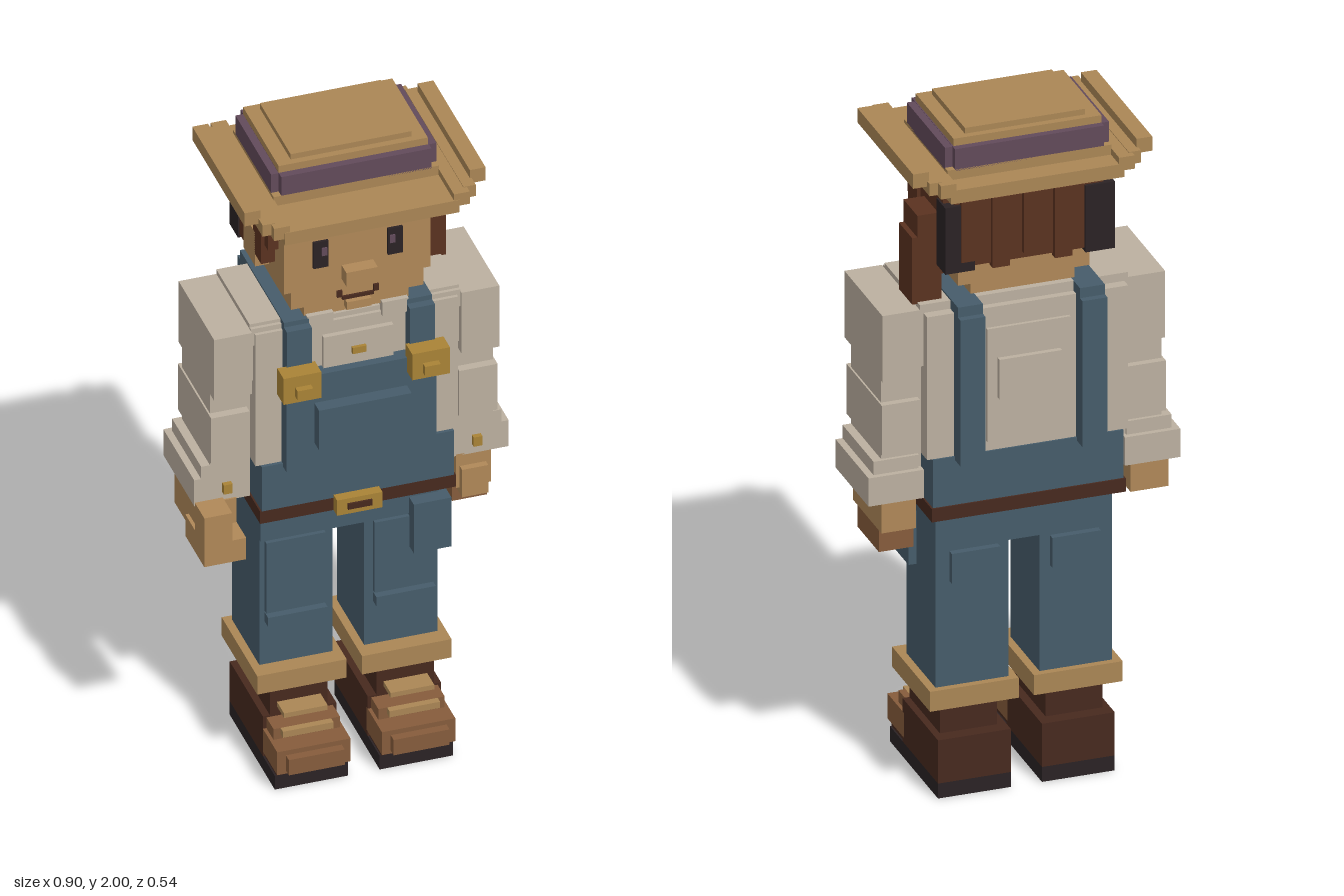
import * as THREE from 'three';

const colours = {
  straw: 0xaa8655, skin: 0xb08858, shirt: 0xbcb0a0, denim: 0x465c6a, leather: 0x47291e,
  hair: 0x5a3220, tan: 0x865c3c, black: 0x2a2224, plum: 0x624a5a, brass: 0xa98336,
};

export function createModel() {
  const root = new THREE.Group();
  root.name = 'farmer';
  const mats = {};
  for (const [name, color] of Object.entries(colours)) {
    mats[name] = new THREE.MeshStandardMaterial({ color });
    mats[name].name = name;
  }
  // box from its limits: x0, x1, y0, y1, z0, z1
  const box = (name, mat, x0, x1, y0, y1, z0, z1) => {
    const m = new THREE.Mesh(new THREE.BoxGeometry(x1 - x0, y1 - y0, z1 - z0), mats[mat]);
    m.position.set((x0 + x1) / 2, (y0 + y1) / 2, (z0 + z1) / 2);
    m.name = name;
    root.add(m);
  };
  // the same box on both sides of the body
  const pair = (name, mat, x0, x1, ...yz) => {
    box(name + 'Left', mat, x0, x1, ...yz);
    box(name + 'Right', mat, -x1, -x0, ...yz);
  };

  // boots
  pair('sole', 'black', 0.045, 0.255, 0, 0.045, -0.18, 0.2);
  pair('boot', 'leather', 0.045, 0.255, 0.045, 0.175, -0.18, 0.1);
  pair('bootFront', 'leather', 0.05, 0.25, 0.045, 0.07, 0.1, 0.2);
  pair('bootShaft', 'leather', 0.07, 0.235, 0.175, 0.265, -0.14, 0.1);
  pair('toe', 'tan', 0.045, 0.255, 0.06, 0.135, 0.09, 0.22);
  pair('toeTop', 'tan', 0.055, 0.245, 0.135, 0.17, 0.08, 0.16);
  pair('toeCap', 'tan', 0.07, 0.23, 0.07, 0.12, 0.22, 0.245);
  pair('lowerLace', 'straw', 0.08, 0.225, 0.15, 0.17, 0.1, 0.18);
  pair('upperLace', 'straw', 0.09, 0.215, 0.2, 0.215, 0.09, 0.16);
  pair('trouserCuff', 'straw', 0.022, 0.278, 0.265, 0.325, -0.18, 0.12);

  // trousers
  pair('leg', 'denim', 0.045, 0.255, 0.325, 0.74, -0.16, 0.07);
  box('hips', 'denim', -0.255, 0.255, 0.735, 0.85, -0.16, 0.08);
  pair('kneePatch', 'denim', 0.07, 0.24, 0.5, 0.73, 0.07, 0.085);
  pair('kneeFold', 'denim', 0.07, 0.24, 0.465, 0.495, 0.07, 0.1);
  pair('backPocket', 'denim', 0.075, 0.215, 0.64, 0.73, -0.18, -0.16);
  box('sidePocket', 'denim', 0.17, 0.278, 0.63, 0.79, -0.01, 0.12);

  // belt
  box('belt', 'leather', -0.28, 0.28, 0.845, 0.885, -0.2, 0.15);
  box('beltBuckle', 'brass', -0.07, 0.06, 0.845, 0.895, 0.15, 0.18);
  box('buckleCentre', 'leather', -0.04, 0.03, 0.862, 0.88, 0.18, 0.186);

  // torso and overalls
  box('waist', 'denim', -0.275, 0.275, 0.885, 1.03, -0.195, 0.15);
  box('torso', 'shirt', -0.29, 0.29, 1.03, 1.46, -0.19, 0.14);
  box('shoulders', 'shirt', -0.3, 0.3, 1.42, 1.475, -0.14, 0.13);
  box('bib', 'denim', -0.215, 0.215, 1.02, 1.32, 0.13, 0.18);
  box('bibPocket', 'denim', -0.135, 0.13, 1.1, 1.23, 0.18, 0.22);
  pair('frontStrap', 'denim', 0.14, 0.212, 1.32, 1.475, 0.13, 0.175);
  pair('topStrap', 'denim', 0.14, 0.212, 1.455, 1.49, -0.22, 0.15);
  pair('backStrap', 'denim', 0.14, 0.212, 1.02, 1.46, -0.24, -0.18);
  pair('strapBuckle', 'brass', 0.13, 0.238, 1.275, 1.36, 0.17, 0.225);
  pair('strapButton', 'brass', 0.16, 0.205, 1.295, 1.325, 0.225, 0.245);
  box('shirtPlacket', 'shirt', -0.1, 0.1, 1.32, 1.42, 0.13, 0.155);
  box('shirtButton', 'brass', -0.02, 0.02, 1.355, 1.375, 0.155, 0.165);
  box('backPanel', 'shirt', -0.12, 0.12, 1.06, 1.4, -0.2, -0.19);
  box('backPatch', 'shirt', -0.09, 0.09, 1.19, 1.31, -0.215, -0.2);
  pair('collar', 'shirt', 0.07, 0.145, 1.45, 1.495, -0.12, 0.15);
  box('backCollar', 'shirt', -0.14, 0.14, 1.45, 1.49, -0.17, -0.11);

  // sleeves and their cuffs
  pair('sleeve', 'shirt', 0.29, 0.405, 0.98, 1.47, -0.14, 0.095);
  pair('upperSleeve', 'shirt', 0.21, 0.3, 1.3, 1.485, -0.16, 0.12);
  pair('shoulderCap', 'shirt', 0.3, 0.408, 1.27, 1.47, -0.16, 0.14);
  pair('elbowFold', 'shirt', 0.3, 0.41, 1.05, 1.2, -0.16, 0.12);
  pair('sleeveCuff', 'shirt', 0.29, 0.45, 0.905, 0.99, -0.165, 0.095);
  pair('cuffRim', 'shirt', 0.3, 0.43, 0.99, 1.03, -0.15, 0.095);
  pair('cuffButton', 'brass', 0.345, 0.37, 0.935, 0.965, 0.095, 0.11);

  // hands
  box('leftHand', 'skin', 0.3, 0.4, 0.8, 0.91, -0.13, 0.095);
  box('leftFingers', 'tan', 0.3, 0.4, 0.735, 0.8, -0.11, 0.06);
  box('leftThumb', 'skin', 0.31, 0.385, 0.78, 0.87, 0.06, 0.115);
  box('rightHand', 'skin', -0.44, -0.33, 0.79, 0.91, -0.1, 0.1);
  box('rightFingers', 'skin', -0.45, -0.33, 0.76, 0.83, 0.02, 0.18);
  box('rightThumb', 'skin', -0.45, -0.37, 0.83, 0.92, 0.1, 0.18);

  // neck and head
  box('neck', 'skin', -0.09, 0.09, 1.42, 1.51, -0.1, 0.12);
  box('chin', 'skin', -0.15, 0.15, 1.485, 1.53, -0.15, 0.135);
  box('jaw', 'skin', -0.19, 0.19, 1.525, 1.59, -0.16, 0.145);
  box('head', 'skin', -0.21, 0.21, 1.58, 1.84, -0.16, 0.145);
  box('nose', 'skin', -0.045, 0.045, 1.595, 1.64, 0.145, 0.185);
  box('lowerLip', 'skin', -0.035, 0.035, 1.5, 1.525, 0.13, 0.16);
  box('mouth', 'leather', -0.045, 0.045, 1.53, 1.54, 0.145, 0.152);
  pair('mouthCorner', 'leather', 0.045, 0.06, 1.54, 1.56, 0.145, 0.152);
  pair('eye', 'black', 0.085, 0.128, 1.65, 1.735, 0.145, 0.153);
  pair('eyeGlint', 'plum', 0.09, 0.105, 1.69, 1.715, 0.153, 0.157);
  pair('brow', 'hair', 0.07, 0.14, 1.765, 1.785, 0.14, 0.165);
  box('rightEar', 'skin', -0.25, -0.21, 1.6, 1.71, -0.08, 0.02);
  box('leftEar', 'skin', 0.21, 0.235, 1.6, 1.69, -0.01, 0.06);

  // hair
  box('fringe', 'hair', -0.235, 0.235, 1.775, 1.84, 0.08, 0.165);
  pair('sideHair', 'hair', 0.2, 0.24, 1.7, 1.84, -0.18, 0.1);
  pair('sideLock', 'hair', 0.205, 0.25, 1.64, 1.78, 0.0, 0.07);
  pair('rearSideHair', 'hair', 0.2, 0.24, 1.6, 1.72, -0.18, -0.07);
  box('backHair', 'hair', -0.215, 0.215, 1.6, 1.84, -0.2, -0.15);
  for (let i = 0; i < 4; i++) {
    const x = -0.12 + i * 0.09;
    box('backLock', 'hair', x, x + 0.05, 1.59 + (i % 2) * 0.03, 1.8, -0.215, -0.19);
  }
  pair('darkHair', 'black', 0.16, 0.245, 1.59, 1.79, -0.21, -0.14);
  box('ponytail', 'hair', 0.21, 0.3, 1.56, 1.745, -0.14, -0.03);
  box('ponytailEnd', 'hair', 0.23, 0.315, 1.48, 1.68, -0.14, -0.035);
  box('ponytailTip', 'hair', 0.24, 0.295, 1.465, 1.49, -0.13, -0.04);

  // straw hat with turned-up sides
  box('brim', 'straw', -0.25, 0.25, 1.83, 1.87, -0.27, 0.27);
  pair('brimSide', 'straw', 0.235, 0.28, 1.85, 1.89, -0.27, 0.268);
  pair('brimSideOuter', 'straw', 0.27, 0.305, 1.855, 1.892, -0.25, 0.245);
  pair('brimEdge', 'straw', 0.3, 0.345, 1.875, 1.918, -0.23, 0.21);
  box('crownBase', 'straw', -0.237, 0.237, 1.865, 1.9, -0.205, 0.137);
  box('hatBand', 'plum', -0.237, 0.237, 1.895, 1.96, -0.185, 0.115);
  box('hatBandFrontBack', 'plum', -0.215, 0.215, 1.895, 1.961, -0.205, 0.137);
  box('crown', 'straw', -0.215, 0.212, 1.955, 1.983, -0.185, 0.115);
  box('crownTop', 'straw', -0.174, 0.172, 1.98, 2.0, -0.165, 0.095);

  return root;
}
